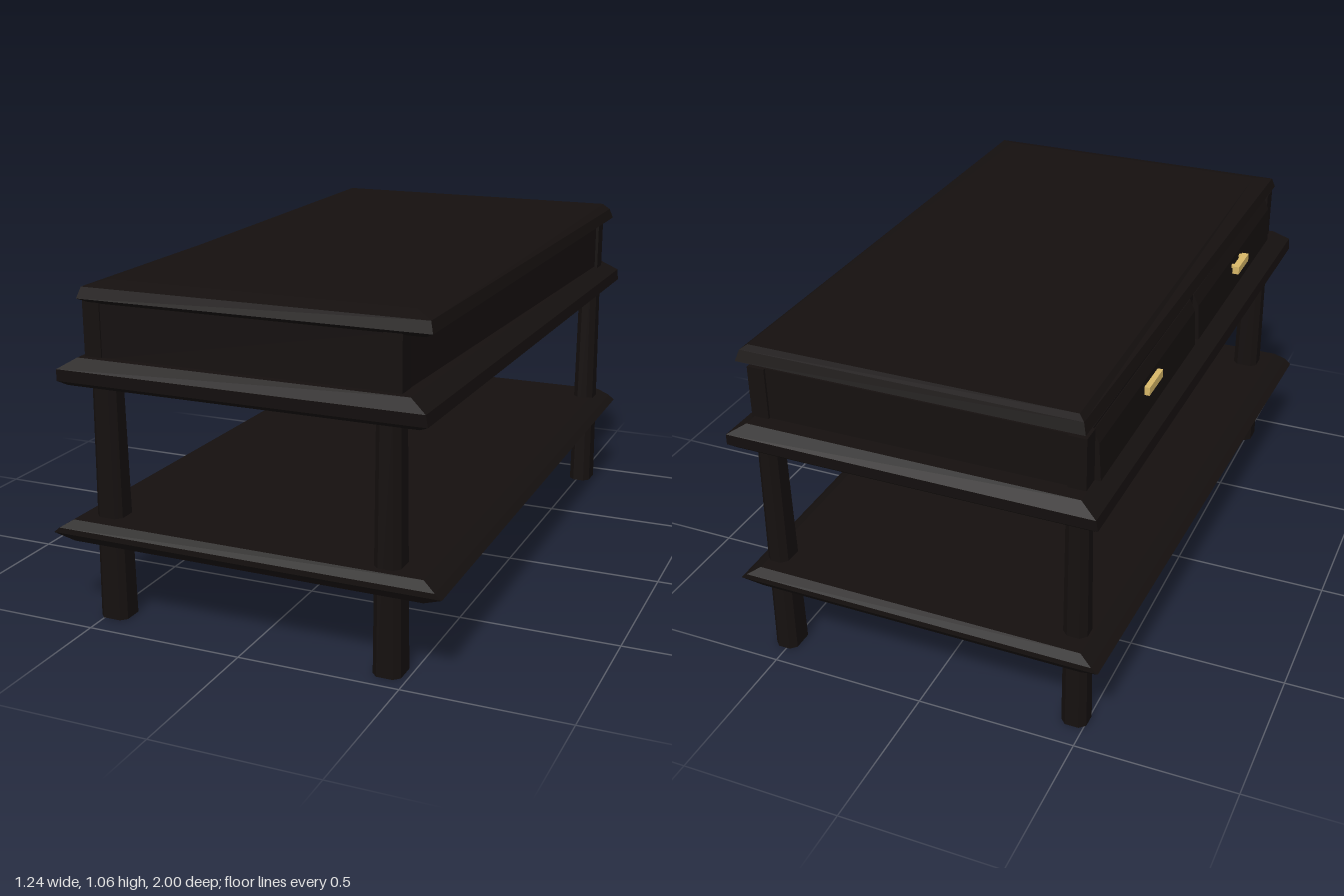
import * as THREE from 'three';

const wood = new THREE.MeshStandardMaterial({ color: 0x15100f, flatShading: true });
const brass = new THREE.MeshStandardMaterial({ color: 0xd8b868, flatShading: true });

// Closed solid from stacked rings of [x, z] corners, counterclockwise from above, bottom to top
function loft(name, rings) {
  const pos = [], idx = [], n = rings[0].corners.length;
  rings.forEach(r => r.corners.forEach(([x, z]) => pos.push(x, r.y - (r.tilt || 0) * z, z)));
  for (let k = 0; k < rings.length - 1; k++) {
    for (let i = 0; i < n; i++) {
      const a = k * n + i, b = k * n + (i + 1) % n;
      idx.push(a, b, b + n, a, b + n, a + n);
    }
  }
  const t = (rings.length - 1) * n;
  for (let i = 1; i < n - 1; i++) idx.push(0, i + 1, i, t, t + i, t + i + 1);
  const indexed = new THREE.BufferGeometry();
  indexed.setAttribute('position', new THREE.Float32BufferAttribute(pos, 3));
  indexed.setIndex(idx);
  const geo = indexed.toNonIndexed();
  geo.computeVertexNormals();
  const mesh = new THREE.Mesh(geo, wood);
  mesh.name = name;
  return mesh;
}

// Slab with chamfered edges: each level is [y, inset in x, inset in z]
function slab(name, corners, levels, tilt = 0) {
  return loft(name, levels.map(([y, ix, iz]) => ({
    y, tilt,
    corners: corners.map(([x, z]) => [x - Math.sign(x) * ix, z - Math.sign(z) * iz]),
  })));
}

// Ring with cut corners for legs and posts
function octagon(cx, cz, w, d) {
  const a = w / 2, b = d / 2, c = 0.018;
  return [[-a + c, b], [a - c, b], [a, b - c], [a, -b + c], [a - c, -b], [-a + c, -b], [-a, -b + c], [-a, b - c]]
    .map(([x, z]) => [cx + x, cz + z]);
}

function box(name, w, h, d, x, y, z, material) {
  const mesh = new THREE.Mesh(new THREE.BoxGeometry(w, h, d), material);
  mesh.position.set(x, y, z);
  mesh.name = name;
  return mesh;
}

export function createModel() {
  const table = new THREE.Group();
  table.name = 'coffeeTable';

  // Lower shelf with pointed edges
  table.add(slab('lowerShelf', [[-0.62, 0.985], [0.62, 0.995], [0.595, -0.995], [-0.57, -1]],
    [[0.262, 0.06, 0.02], [0.288, 0, 0], [0.305, 0.02, 0], [0.33, 0.06, 0.02]], 0.003));

  // Moulded slab beneath the drawer case
  table.add(slab('middleSlab', [[-0.575, 0.995], [0.575, 0.995], [0.592, -0.995], [-0.56, -0.995]],
    [[0.752, 0.03, 0.02], [0.765, 0.002, 0.005], [0.802, 0.006, 0], [0.835, 0.06, 0.03]], 0.003));

  // Table top with sloped edges
  table.add(slab('tableTop', [[-0.505, 0.968], [0.575, 0.965], [0.575, -0.925], [-0.495, -0.925]],
    [[0.993, 0.03, 0.03], [1.01, 0, 0], [1.043, 0.01, 0.012]], 0.003));
  table.add(loft('topSurface', [
    { y: 1.043, tilt: 0.003, corners: [[-0.495, 0.956], [0.565, 0.953], [0.565, -0.913], [-0.485, -0.913]] },
    { y: 1.06, tilt: 0.005, corners: [[-0.44, 0.9], [0.505, 0.9], [0.54, -0.905], [-0.47, -0.905]] },
  ]));

  // Drawer case, slightly narrower at the front
  table.add(slab('drawerCase', [[-0.49, 0.94], [0.48, 0.94], [0.532, -0.912], [-0.49, -0.912]],
    [[0.82, 0, 0], [1.0, 0, 0]]));

  // Legs, each tapering upward
  const legs = [
    ['frontRightLeg', -0.474, 0.875, 0.092, 0.095],
    ['frontLeftLeg', 0.438, 0.905, 0.086, 0.1],
    ['backLeftLeg', 0.508, -0.888, 0.075, 0.1],
    ['backRightLeg', -0.465, -0.885, 0.08, 0.08],
  ];
  for (const [name, x, z, w, d] of legs) {
    table.add(loft(name, [
      { y: 0, corners: octagon(x, z, w, d) },
      { y: 0.77, corners: octagon(x, z, w * 0.86, d * 0.82) },
    ]));
  }

  // Corner posts of the case
  [[-0.474, 0.915], [0.456, 0.915], [0.513, -0.89], [-0.47, -0.89]].forEach(([x, z], i) =>
    table.add(box('cornerPost' + (i + 1), 0.055, 0.18, 0.06, x, 0.91, z, wood)));

  // Two leaning drawer fronts, each with a bar handle
  for (const [z, x] of [[0.45, -0.528], [-0.435, -0.516]]) {
    const drawer = new THREE.Group();
    drawer.name = z > 0 ? 'frontDrawer' : 'backDrawer';
    const z0 = z - 0.425, z1 = z + 0.425;
    const ring = (y, left) => ({ y, corners: [[left, z1], [-0.47, z1], [-0.47, z0], [left, z0]] });
    drawer.add(loft('drawerFront', [ring(0.838, -0.516), ring(0.955, -0.509), ring(0.993, -0.492)]));
    drawer.add(box('handleBar', 0.022, 0.026, 0.12, x, 0.924, z, brass));
    for (const s of [-1, 1]) {
      drawer.add(box('handleStem', 0.04, 0.01, 0.014, x + 0.015, 0.932, z + s * 0.045, brass));
    }
    table.add(drawer);
  }
  return table;
}
